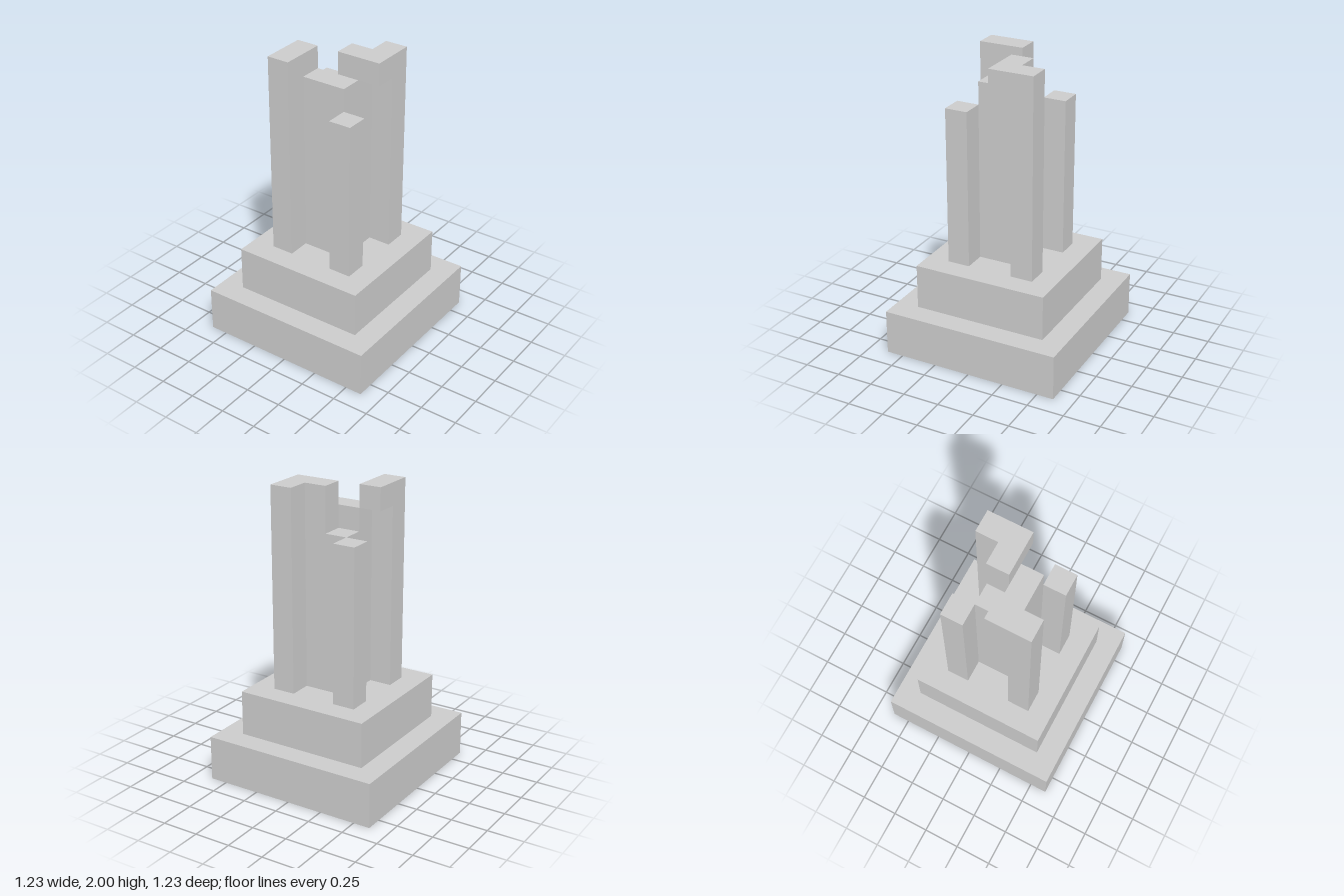
import * as THREE from 'three';

// The whole model sits on a block grid, 13 blocks tall.
const U = 2 / 13;

export function createModel() {
  const group = new THREE.Group();
  const material = new THREE.MeshStandardMaterial({ color: 0xcccccc, flatShading: true });

  // Box between two grid corners, given as [min, max] block ranges.
  function block(name, [x0, x1], [y0, y1], [z0, z1]) {
    const geometry = new THREE.BoxGeometry((x1 - x0) * U, (y1 - y0) * U, (z1 - z0) * U);
    const mesh = new THREE.Mesh(geometry, material);
    mesh.position.set((x0 + x1) / 2 * U, (y0 + y1) / 2 * U, (z0 + z1) / 2 * U);
    mesh.name = name;
    group.add(mesh);
  }

  // Stepped pedestal
  block('lowerPlinth', [-4, 4], [0, 2], [-4, 4]);
  block('upperPlinth', [-3, 3], [2, 4], [-3, 3]);

  // Central shaft, broken off at three heights
  block('shaftRightHalf', [-1, 0], [4, 12], [-1, 1]);
  block('shaftBackLeft', [0, 1], [4, 11], [-1, 0]);
  block('shaftFrontLeft', [0, 1], [4, 13], [0, 1]);

  // Corner pillars: one diagonal pair is tall, the other short
  for (const sx of [-1, 1]) {
    for (const sz of [-1, 1]) {
      const top = sx === sz ? 13 : 11;
      const name = (sz > 0 ? 'front' : 'back') + (sx > 0 ? 'Left' : 'Right') + 'Pillar';
      block(name, sx > 0 ? [1, 2] : [-2, -1], [4, top], sz > 0 ? [1, 2] : [-2, -1]);
    }
  }

  // Remains of the cap, overhanging inward from the tall pillars
  block('frontCapArm', [0, 1], [12, 13], [1, 2]);
  block('backCapArm', [-1, 0], [12, 13], [-2, -1]);

  return group;
}
